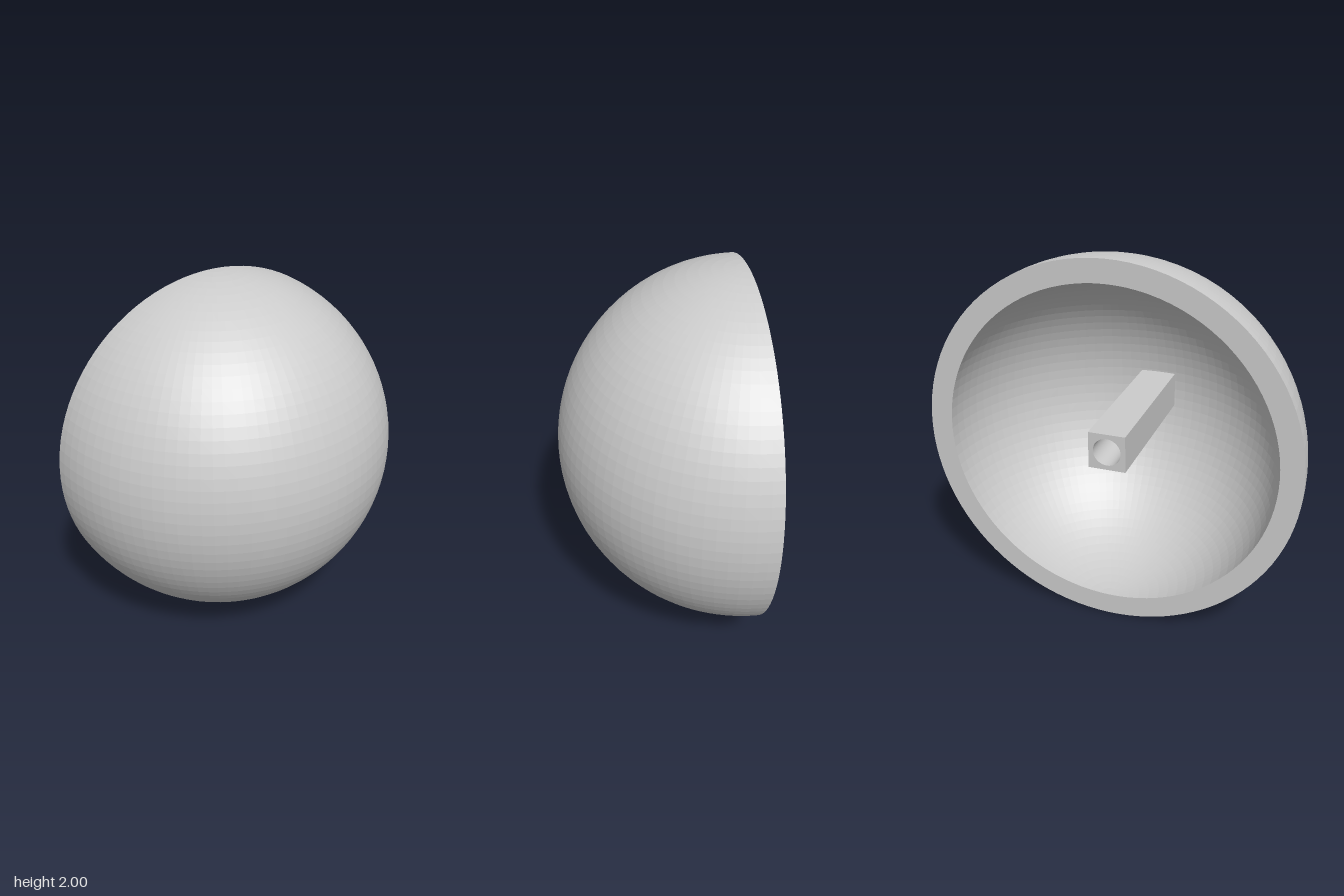
import * as THREE from 'three';

const OUTER = 1, INNER = 0.88, SEGMENTS = 50;
const POST = 0.2, HOLE = 0.15, POST_LENGTH = 0.89;

export function createModel() {
  const model = new THREE.Group();
  model.name = 'hollowHemisphere';
  const dome = new THREE.Group();
  dome.name = 'dome';
  // Centre of the flat opening, facing -z
  dome.position.set(0, 1, -0.5);
  model.add(dome);

  const addPart = (name, geometry, side = THREE.FrontSide) => {
    const material = new THREE.MeshStandardMaterial({ color: 0xcccccc, flatShading: true, side });
    const mesh = new THREE.Mesh(geometry, material);
    mesh.name = name;
    dome.add(mesh);
  };

  // Outer and inner half spheres, poles along y
  const halfSphere = (r) => new THREE.SphereGeometry(r, SEGMENTS, SEGMENTS, 0, Math.PI);
  addPart('outerShell', halfSphere(OUTER));
  addPart('innerShell', halfSphere(INNER), THREE.BackSide);

  // Flat rim joining the two shells
  addPart('rim', new THREE.RingGeometry(INNER, OUTER, SEGMENTS * 2).rotateY(Math.PI));

  // Square post with a round bore, running from the opening to the inner shell
  const h = POST / 2;
  const section = new THREE.Shape([[-h, -h], [h, -h], [h, h], [-h, h]].map(([x, y]) => new THREE.Vector2(x, y)));
  section.holes.push(new THREE.Path().absarc(0, 0, HOLE / 2, 0, Math.PI * 2, true));
  addPart('mountingPost', new THREE.ExtrudeGeometry(section, {
    depth: POST_LENGTH, bevelEnabled: false, curveSegments: SEGMENTS,
  }));

  return model;
}
